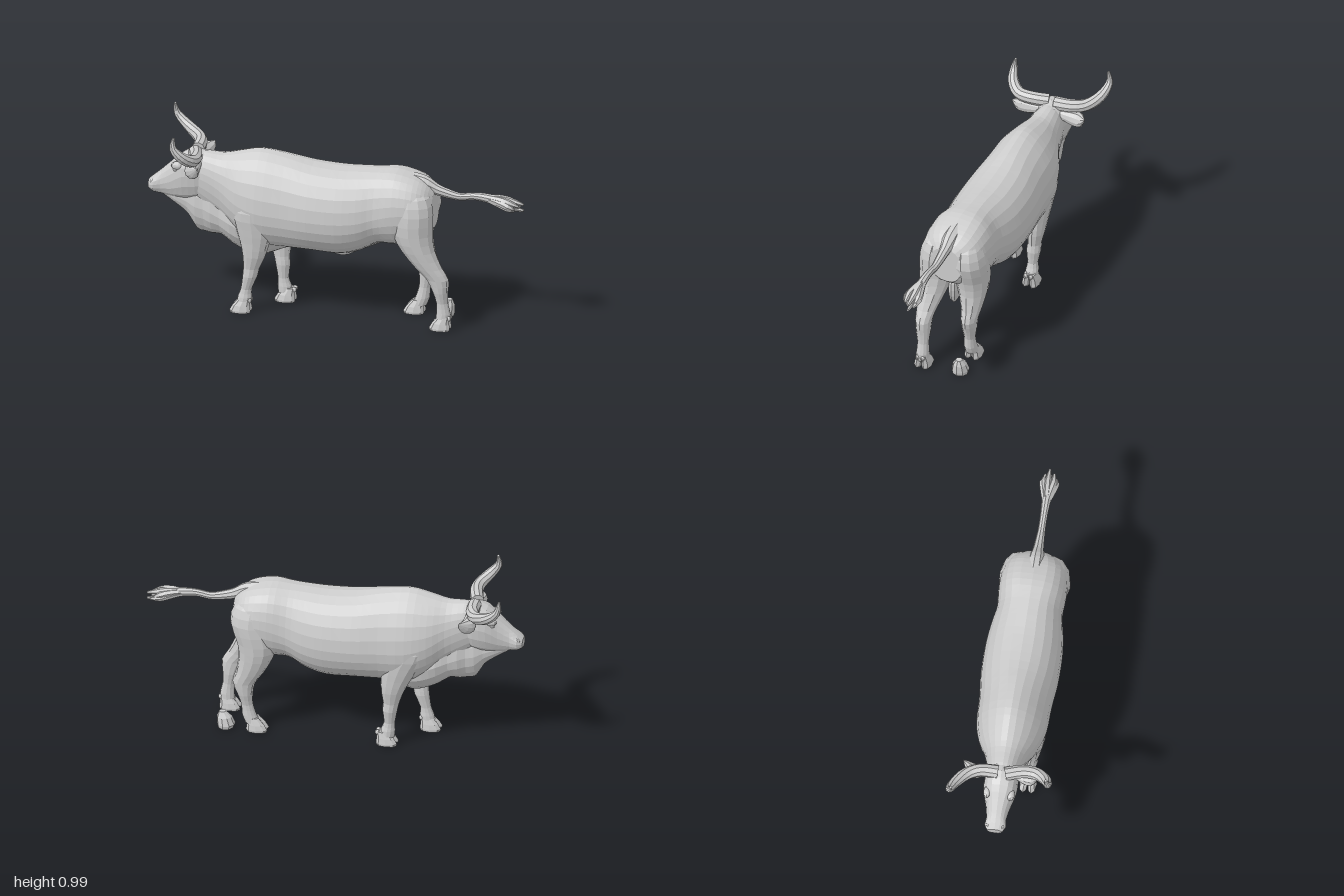
import * as THREE from 'three';

const hide = new THREE.MeshStandardMaterial({ color: 0xcccccc, flatShading: true });
hide.name = 'plain grey';

// Catmull-Rom resampling of rows of numbers, with n steps between rows
function resample(rows, n) {
  const out = [];
  const last = rows.length - 1;
  for (let i = 0; i < last; i++) {
    const a = rows[Math.max(i - 1, 0)], b = rows[i], c = rows[i + 1], d = rows[Math.min(i + 2, last)];
    for (let k = 0; k < n; k++) {
      const t = k / n;
      out.push(b.map((v, j) => v + 0.5 * t * (c[j] - a[j] +
        t * (2 * a[j] - 5 * v + 4 * c[j] - d[j] + t * (3 * (v - c[j]) + d[j] - a[j])))));
    }
  }
  out.push(rows[last]);
  return out;
}

// Closed skin over a list of rings, capped at both ends and facing outward
function loft(name, rings) {
  const m = rings[0].length, pos = [], idx = [];
  rings.forEach(r => r.forEach(p => pos.push(...p)));
  for (let i = 0; i < rings.length - 1; i++) {
    for (let j = 0; j < m; j++) {
      const a = i * m + j, b = i * m + (j + 1) % m;
      idx.push(a, b, a + m, b, b + m, a + m);
    }
  }
  [0, rings.length - 1].forEach(e => {
    const c = pos.length / 3;
    pos.push(...[0, 1, 2].map(k => rings[e].reduce((s, p) => s + p[k], 0) / m));
    for (let j = 0; j < m; j++) {
      const a = e * m + j, b = e * m + (j + 1) % m;
      if (e) idx.push(a, b, c); else idx.push(b, a, c);
    }
  });
  const v = i => new THREE.Vector3().fromArray(pos, i * 3);
  let volume = 0;
  for (let i = 0; i < idx.length; i += 3) volume += v(idx[i]).dot(v(idx[i + 1]).cross(v(idx[i + 2])));
  if (volume < 0) idx.reverse();
  const g = new THREE.BufferGeometry();
  g.setAttribute('position', new THREE.Float32BufferAttribute(pos, 3));
  g.setIndex(idx);
  g.computeVertexNormals();
  return named(name, g);
}

function named(name, geometry) {
  const mesh = new THREE.Mesh(geometry, hide);
  mesh.name = name;
  return mesh;
}

const around = (n, f) => Array.from({ length: n }, (_, i) => f(Math.cos(i / n * Math.PI * 2), Math.sin(i / n * Math.PI * 2)));
const pow = (c, p) => Math.sign(c) * Math.abs(c) ** p;

// Rows: x, top, widest height, bottom, half width, upper power, lower power
function barrel(name, rows, sides = 24, steps = 3) {
  return loft(name, resample(rows, steps).map(([x, top, mid, bottom, w, pu, pl]) =>
    around(sides, (c, s) => [x, mid + s * (s > 0 ? top - mid : mid - bottom), w * pow(c, s > 0 ? pu : pl)])));
}

// Rows: y, centre x, radius x, centre z, radius z
function limb(name, rows, sides = 12, steps = 2) {
  return loft(name, resample(rows, steps).map(([y, x, rx, z, rz]) =>
    around(sides, (c, s) => [x + rx * c, y, z + rz * s])));
}

// Round tapering tube. Rows: x, y, z, radius
function taper(name, rows, sides = 9, steps = 3) {
  const pts = resample(rows, steps);
  return loft(name, pts.map((p, i) => {
    const a = pts[Math.max(i - 1, 0)], b = pts[Math.min(i + 1, pts.length - 1)];
    const dir = new THREE.Vector3(b[0] - a[0], b[1] - a[1], b[2] - a[2]).normalize();
    const u = new THREE.Vector3(0.8, 0.6, 0).cross(dir).normalize();
    const w = dir.clone().cross(u);
    return around(sides, (c, s) => [0, 1, 2].map(k =>
      p[k] + p[3] * (c * u.getComponent(k) + s * w.getComponent(k))));
  }));
}

function ball(name, x, y, z, rx, ry, rz) {
  const mesh = named(name, new THREE.SphereGeometry(1, 10, 8));
  mesh.position.set(x, y, z);
  mesh.scale.set(rx, ry, rz);
  return mesh;
}

// Leg with a cloven hoof; side picks the z sign, swing moves the foot along x
function leg(name, rows, side, swing, pivot) {
  const group = new THREE.Group();
  group.name = name;
  const shift = y => swing * Math.max(0, 1 - y / pivot);
  group.add(limb(name + 'Limb', rows.map(([y, x, rx, z, rz]) => [y, x + shift(y), rx, z * side, rz])));
  const foot = rows[rows.length - 1];
  const x = foot[1] + shift(0), z = foot[3] * side;
  for (const s of [-1, 1]) {
    group.add(limb('hoof', [
      [0.075, x + 0.01, 0.03, z + s * 0.014, 0.018],
      [0.04, x - 0.006, 0.046, z + s * 0.019, 0.023],
      [0.012, x - 0.012, 0.056, z + s * 0.022, 0.024],
      [0, x - 0.012, 0.052, z + s * 0.022, 0.022]], 8, 1));
    group.add(ball('dewclaw', x + 0.036, 0.068, z + s * 0.015, 0.014, 0.014, 0.011));
  }
  return group;
}

export function createModel() {
  const bull = new THREE.Group();
  bull.name = 'bull';

  // Trunk from neck to rump
  bull.add(barrel('body', [
    [-0.76, 0.83, 0.71, 0.58, 0.07, 1, 1],
    [-0.69, 0.838, 0.7, 0.52, 0.088, 1, 1.1],
    [-0.6, 0.835, 0.66, 0.46, 0.11, 1, 1.2],
    [-0.51, 0.857, 0.61, 0.4, 0.155, 1.15, 1],
    [-0.4, 0.88, 0.58, 0.36, 0.184, 1.25, 0.85],
    [-0.26, 0.862, 0.57, 0.355, 0.19, 1.15, 0.9],
    [-0.12, 0.833, 0.565, 0.352, 0.203, 1, 0.95],
    [0.03, 0.822, 0.565, 0.345, 0.203, 0.95, 1],
    [0.14, 0.826, 0.575, 0.375, 0.19, 0.95, 1],
    [0.23, 0.83, 0.6, 0.425, 0.172, 0.85, 0.95],
    [0.33, 0.835, 0.63, 0.43, 0.178, 0.75, 0.8],
    [0.43, 0.81, 0.64, 0.46, 0.17, 0.7, 0.8],
    [0.49, 0.775, 0.64, 0.5, 0.14, 0.7, 0.8],
    [0.525, 0.735, 0.635, 0.53, 0.09, 0.8, 0.8]]));

  // Hanging skin from throat to brisket, with folds
  bull.add(barrel('dewlap', [
    [-0.92, 0.62, 0.6, 0.572, 0.02, 1, 1],
    [-0.85, 0.66, 0.58, 0.525, 0.04, 1, 1.2],
    [-0.79, 0.68, 0.56, 0.475, 0.048, 1, 1.4],
    [-0.745, 0.68, 0.54, 0.4, 0.062, 1, 1.7],
    [-0.7, 0.68, 0.53, 0.388, 0.064, 1, 1.6],
    [-0.66, 0.68, 0.52, 0.378, 0.08, 1, 1.6],
    [-0.61, 0.66, 0.5, 0.378, 0.085, 1, 1.5],
    [-0.55, 0.62, 0.48, 0.335, 0.11, 1, 1.5],
    [-0.48, 0.56, 0.45, 0.3, 0.112, 1, 1.6],
    [-0.41, 0.54, 0.43, 0.283, 0.1, 1, 1.7],
    [-0.32, 0.52, 0.42, 0.315, 0.085, 1, 1.5],
    [-0.22, 0.5, 0.42, 0.36, 0.06, 1, 1]], 16, 2));

  // Belly and groin details
  bull.add(barrel('sheath', [
    [-0.1, 0.4, 0.38, 0.352, 0.03, 1, 1],
    [0.03, 0.4, 0.36, 0.322, 0.028, 1, 1],
    [0.1, 0.41, 0.38, 0.35, 0.026, 1, 1],
    [0.24, 0.45, 0.43, 0.415, 0.02, 1, 1]], 10, 2));
  bull.add(ball('scrotum', 0.42, 0.425, 0, 0.045, 0.095, 0.03));

  // Head
  bull.add(barrel('head', [
    [-0.67, 0.82, 0.71, 0.6, 0.07, 0.9, 0.9],
    [-0.74, 0.848, 0.72, 0.565, 0.088, 0.8, 0.9],
    [-0.81, 0.825, 0.71, 0.555, 0.086, 0.75, 1],
    [-0.87, 0.772, 0.67, 0.562, 0.066, 0.75, 1],
    [-0.93, 0.715, 0.645, 0.58, 0.052, 0.8, 0.9],
    [-0.97, 0.68, 0.638, 0.588, 0.056, 0.8, 0.8],
    [-0.998, 0.655, 0.632, 0.605, 0.038, 0.8, 0.8]], 16, 2));
  for (const s of [-1, 1]) {
    bull.add(ball('brow', -0.835, 0.762, s * 0.062, 0.034, 0.022, 0.02));
    bull.add(ball('eye', -0.845, 0.742, s * 0.066, 0.014, 0.011, 0.01));
    bull.add(ball('nostril', -0.972, 0.652, s * 0.038, 0.016, 0.014, 0.01));
    // Leaf-shaped ear. Rows: z, x, y, radius x, radius y
    bull.add(loft('ear', resample([
      [0.06, -0.725, 0.785, 0.02, 0.025],
      [0.115, -0.735, 0.775, 0.034, 0.04],
      [0.155, -0.735, 0.775, 0.04, 0.042],
      [0.185, -0.718, 0.785, 0.028, 0.032],
      [0.206, -0.7, 0.808, 0.004, 0.005]], 2).map(([z, x, y, rx, ry]) =>
      around(10, (c, t) => [x + rx * c, y + ry * t, s * z]))));
  }

  // Horns, with the head turned a little to one side
  bull.add(taper('nearHorn', [
    [-0.75, 0.832, 0.02, 0.036], [-0.725, 0.839, 0.11, 0.035], [-0.73, 0.845, 0.185, 0.033],
    [-0.77, 0.878, 0.235, 0.029], [-0.812, 0.93, 0.25, 0.02], [-0.812, 0.988, 0.24, 0.007]]));
  bull.add(taper('farHorn', [
    [-0.745, 0.832, -0.02, 0.036], [-0.75, 0.839, -0.11, 0.035], [-0.785, 0.845, -0.18, 0.033],
    [-0.85, 0.875, -0.23, 0.029], [-0.908, 0.925, -0.25, 0.02], [-0.92, 0.988, -0.24, 0.007]]));

  // Legs. Rows: y, centre x, radius x, centre z, radius z
  const foreRows = [
    [0.72, -0.39, 0.04, 0.08, 0.03], [0.66, -0.4, 0.08, 0.095, 0.056],
    [0.57, -0.42, 0.105, 0.113, 0.067], [0.48, -0.412, 0.1, 0.115, 0.06],
    [0.4, -0.41, 0.08, 0.115, 0.051], [0.32, -0.415, 0.06, 0.113, 0.044],
    [0.25, -0.43, 0.043, 0.106, 0.036], [0.205, -0.437, 0.04, 0.104, 0.039],
    [0.13, -0.458, 0.029, 0.1, 0.028], [0.085, -0.465, 0.038, 0.1, 0.034],
    [0.045, -0.475, 0.036, 0.1, 0.036]];
  const hindRows = [
    [0.78, 0.4, 0.05, 0.075, 0.03], [0.72, 0.415, 0.1, 0.083, 0.074],
    [0.63, 0.423, 0.113, 0.091, 0.092], [0.52, 0.425, 0.107, 0.092, 0.092],
    [0.43, 0.457, 0.09, 0.099, 0.077], [0.34, 0.515, 0.072, 0.106, 0.054],
    [0.28, 0.562, 0.06, 0.106, 0.043], [0.21, 0.577, 0.041, 0.103, 0.039],
    [0.15, 0.585, 0.031, 0.1, 0.03], [0.09, 0.592, 0.038, 0.099, 0.034],
    [0.045, 0.587, 0.038, 0.1, 0.036]];
  bull.add(leg('nearFrontLeg', foreRows, 1, 0, 1));
  bull.add(leg('farFrontLeg', foreRows, -1, 0.19, 0.6));
  bull.add(leg('nearHindLeg', hindRows, 1, 0, 1));
  bull.add(leg('farHindLeg', hindRows, -1, -0.185, 0.62));

  // Loose lump on the ground behind the far hind leg
  bull.add(limb('looseHoof', [
    [0, 0.558, 0.042, -0.1, 0.043], [0.02, 0.556, 0.049, -0.1, 0.047],
    [0.06, 0.565, 0.04, -0.1, 0.037], [0.09, 0.575, 0.018, -0.1, 0.018]], 9, 1));

  // Tail and its tuft of strands
  bull.add(taper('tail', [
    [0.36, 0.785, 0, 0.04], [0.46, 0.768, 0, 0.042], [0.53, 0.738, 0, 0.03], [0.6, 0.718, 0, 0.024],
    [0.66, 0.708, 0, 0.02], [0.73, 0.718, 0, 0.02], [0.8, 0.714, 0, 0.024], [0.88, 0.698, 0, 0.028]]));
  for (let i = 0; i < 8; i++) {
    const a = i / 7 * Math.PI * 2, r = i < 7 ? 1 : 0;
    const z = r * Math.cos(a), y = r * Math.sin(a), end = 0.95 + 0.022 * (i % 3);
    bull.add(taper('tailStrand', [
      [0.78, 0.716, 0, 0.014], [0.86, 0.704 + y * 0.014, z * 0.022, 0.018],
      [0.92, 0.689 + y * 0.02, z * 0.036, 0.018], [end, 0.675 + y * 0.016, z * 0.03, 0.007]], 6, 2));
  }
  return bull;
}
